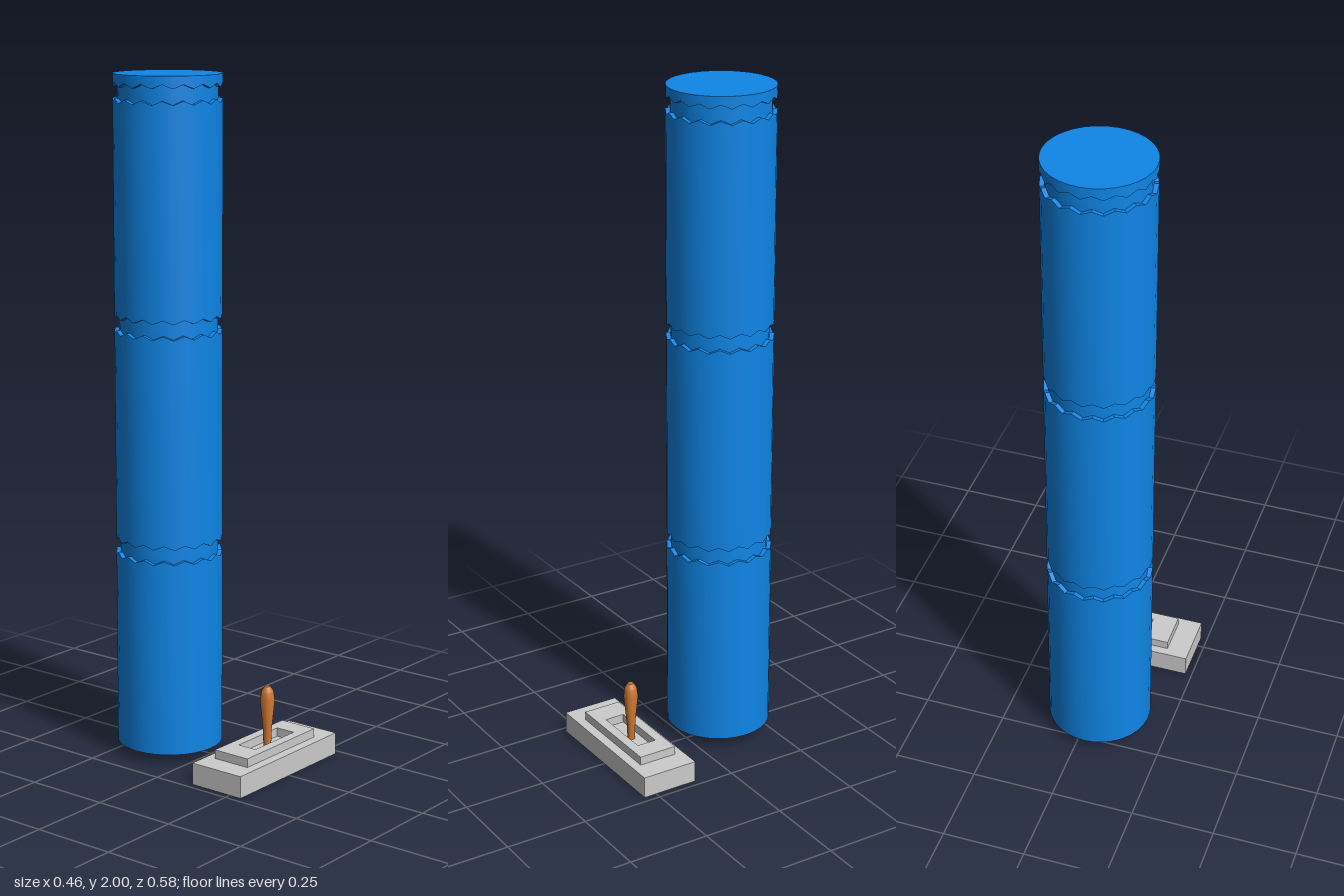
import * as THREE from 'three';
import { toCreasedNormals } from 'three/addons/utils/BufferGeometryUtils.js';

const V = (x, y) => new THREE.Vector2(x, y);

function part(name, geometry, color, x = 0, y = 0, z = 0) {
  const mesh = new THREE.Mesh(geometry, new THREE.MeshStandardMaterial({ color }));
  mesh.name = name;
  mesh.position.set(x, y, z);
  return mesh;
}

// Column with three recessed rings whose edges zigzag around it
function columnGeometry() {
  const R = 0.156, inner = 0.143, sides = 32, zig = 0.006;
  const profile = [V(0, 0.03), V(R, 0.03)];
  const wavy = new Set();
  for (const [low, high] of [[0.61, 0.655], [1.267, 1.312], [1.925, 1.97]]) {
    for (const [r, y] of [[R, low], [inner, low], [inner, high], [R, high]]) {
      wavy.add(profile.length);
      profile.push(V(r, y));
    }
  }
  profile.push(V(R, 2), V(0, 2));
  const geometry = new THREE.LatheGeometry(profile, sides);
  const pos = geometry.attributes.position;
  for (let i = 0; i < pos.count; i++) {
    const column = Math.floor(i / profile.length);
    if (wavy.has(i % profile.length)) pos.setY(i, pos.getY(i) + (column % 2 ? zig : -zig));
  }
  return toCreasedNormals(geometry, 0.6);
}

// Rectangular collar with a slot, lying flat
function collarGeometry() {
  const rect = (path, x0, x1, y0, y1) =>
    path.setFromPoints([V(x0, y0), V(x1, y0), V(x1, y1), V(x0, y1)]);
  const shape = rect(new THREE.Shape(), -0.161, 0.161, -0.059, 0.059);
  shape.holes.push(rect(new THREE.Path(), -0.086, 0.098, -0.03, 0.03));
  return new THREE.ExtrudeGeometry(shape, { depth: 0.027, bevelEnabled: false }).rotateX(-Math.PI / 2);
}

export function createModel() {
  const group = new THREE.Group();
  group.name = 'leverAndColumn';
  group.add(part('column', columnGeometry(), 0x0f85e6, -0.029, 0, -0.134));

  // Lever housing
  group.add(part('basePlate', new THREE.BoxGeometry(0.46, 0.065, 0.174), 0xcccccc, 0, 0.0325, 0.202));
  group.add(part('slottedCollar', collarGeometry(), 0xcccccc, 0, 0.064, 0.201));

  // Tapered handle
  const handle = new THREE.LatheGeometry(
    [V(0, 0.06), V(0.011, 0.06), V(0.013, 0.12), V(0.022, 0.208), V(0.018, 0.235), V(0.009, 0.25), V(0, 0.25)], 16);
  group.add(part('leverHandle', toCreasedNormals(handle, 0.5), 0xcc7733, 0.01, 0, 0.201));
  return group;
}
